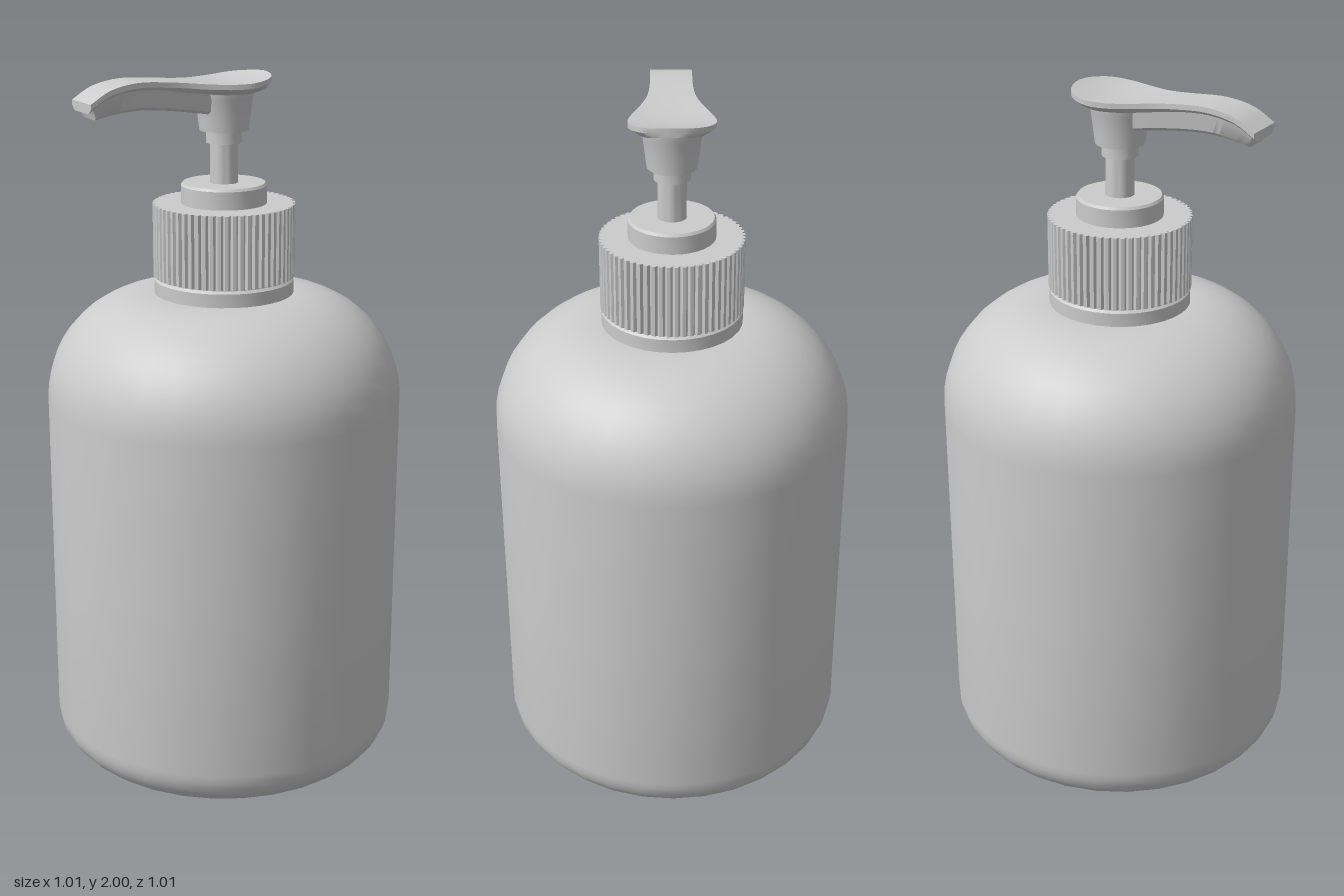
import * as THREE from 'three';
import { toCreasedNormals } from 'three/addons/utils/BufferGeometryUtils.js';

const material = new THREE.MeshStandardMaterial({ color: 0xcccccc, side: THREE.DoubleSide });

function part(name, geometry, crease = 0.6) {
  const mesh = new THREE.Mesh(toCreasedNormals(geometry, crease), material);
  mesh.name = name;
  return mesh;
}

// Surface of revolution from [radius, y] pairs, listed from bottom to top
function turned(name, profile, segments = 32) {
  const points = profile.map(([r, y]) => new THREE.Vector2(r, y));
  return part(name, new THREE.LatheGeometry(points, segments));
}

// Points on a quarter arc, angles in degrees
function arc(cx, cy, rx, ry, from, to, steps) {
  return Array.from({ length: steps + 1 }, (_, i) => {
    const a = THREE.MathUtils.degToRad(from + (to - from) * i / steps);
    return [cx + rx * Math.cos(a), cy + ry * Math.sin(a)];
  });
}

// Skin over rings of [x, y, z] that advance along +x, closed at both ends
function loft(rings) {
  const n = rings[0].length, last = (rings.length - 1) * n, index = [];
  for (let i = 0; i < rings.length - 1; i++) {
    for (let j = 0; j < n; j++) {
      const a = i * n + j, b = i * n + (j + 1) % n;
      index.push(a, b, a + n, b, b + n, a + n);
    }
  }
  for (let j = 1; j < n - 1; j++) {
    index.push(0, j + 1, j, last, last + j, last + j + 1);
  }
  const geometry = new THREE.BufferGeometry();
  geometry.setAttribute('position', new THREE.Float32BufferAttribute(rings.flat(2), 3));
  geometry.setIndex(index);
  return geometry;
}

const sample = (stations, count) =>
  new THREE.CatmullRomCurve3(stations.map(s => new THREE.Vector3(...s))).getPoints(count);

// Cap with vertical ribs all around
function ribbedCap() {
  const ribs = 60, shape = new THREE.Shape();
  for (let i = 0; i < ribs; i++) {
    [[0, 0.191], [0.25, 0.199], [0.7, 0.199], [0.95, 0.191]].forEach(([t, r], k) => {
      const a = (i + t) / ribs * Math.PI * 2;
      shape[i + k ? 'lineTo' : 'moveTo'](r * Math.cos(a), r * Math.sin(a));
    });
  }
  shape.closePath();
  const geometry = new THREE.ExtrudeGeometry(shape, { depth: 0.205, bevelEnabled: false });
  geometry.rotateX(-Math.PI / 2).translate(0, 1.44, 0);
  return part('ribbedCap', geometry, 0.3);
}

// Thumb plate: wide over the stem, narrow over the spout; stations are x, top y, half width
function thumbPlate() {
  const stations = [
    [-0.427, 1.95, 0.058], [-0.37, 1.982, 0.058], [-0.29, 1.997, 0.058], [-0.2, 1.993, 0.059],
    [-0.14, 1.987, 0.066], [-0.08, 1.98, 0.085], [-0.02, 1.976, 0.107], [0.03, 1.977, 0.116],
    [0.07, 1.983, 0.107], [0.1, 1.99, 0.083], [0.12, 1.997, 0.043], [0.126, 1.999, 0.003],
  ];
  const rings = sample(stations, 44).map(({ x, y, z: w }) => {
    const edge = y + 0.1 * Math.max(0, w - 0.058);
    return [
      [x, edge, -w], [x, y, -w * 0.4], [x, y, w * 0.4], [x, edge, w],
      [x, edge - 0.014, w], [x, y - 0.026, w * 0.75], [x, y - 0.026, -w * 0.75], [x, edge - 0.014, -w],
    ];
  });
  return part('thumbPlate', loft(rings));
}

// Spout under the plate; stations are x, top y, bottom y
function spout() {
  const stations = [
    [-0.42, 1.94, 1.905], [-0.36, 1.97, 1.915], [-0.28, 1.985, 1.921], [-0.2, 1.98, 1.916],
    [-0.12, 1.972, 1.905], [-0.05, 1.965, 1.894], [0, 1.96, 1.89],
  ];
  const rings = sample(stations, 24).map(({ x, y, z: bottom }) => {
    // Slant the open end so that its lower lip sits further back
    const low = x + 0.015 * THREE.MathUtils.clamp((-0.3 - x) / 0.12, 0, 1);
    return [
      [x, y, -0.05], [x, y, 0.05], [low, bottom + 0.008, 0.04],
      [low, bottom, 0.032], [low, bottom, -0.032], [low, bottom + 0.008, -0.04],
    ];
  });
  return part('spout', loft(rings));
}

export function createModel() {
  const model = new THREE.Group();
  model.name = 'pumpBottle';

  // Bottle with a hollowed base, rounded foot and domed shoulder
  model.add(turned('bottle', [
    [0, 0.045], [0.12, 0.041], [0.24, 0.028], [0.33, 0.01],
    ...arc(0.385, 0.12, 0.12, 0.12, -90, 0, 8),
    [0.505, 0.6],
    ...arc(0.21, 1.095, 0.295, 0.297, 0, 90, 12),
    [0.197, 1.392],
  ]));
  model.add(turned('neck', [[0.197, 1.385], [0.197, 1.43], [0.19, 1.437], [0.19, 1.45]]));

  // Screw cap and collar
  model.add(ribbedCap());
  model.add(turned('collar', [[0.12, 1.64], [0.12, 1.695], [0.115, 1.702], [0.04, 1.702]]));

  // Pump
  const pump = new THREE.Group();
  pump.name = 'pump';
  pump.add(turned('stem', [[0.039, 1.69], [0.039, 1.82]], 24));
  pump.add(turned('stemRing', [[0.036, 1.812], [0.05, 1.812], [0.05, 1.85]], 24));
  pump.add(turned('socket', [
    [0.045, 1.846], [0.068, 1.846], [0.072, 1.88], [0.079, 1.935], [0.086, 1.958], [0.086, 1.965], [0, 1.965],
  ], 24));
  pump.add(spout(), thumbPlate());
  model.add(pump);
  return model;
}
